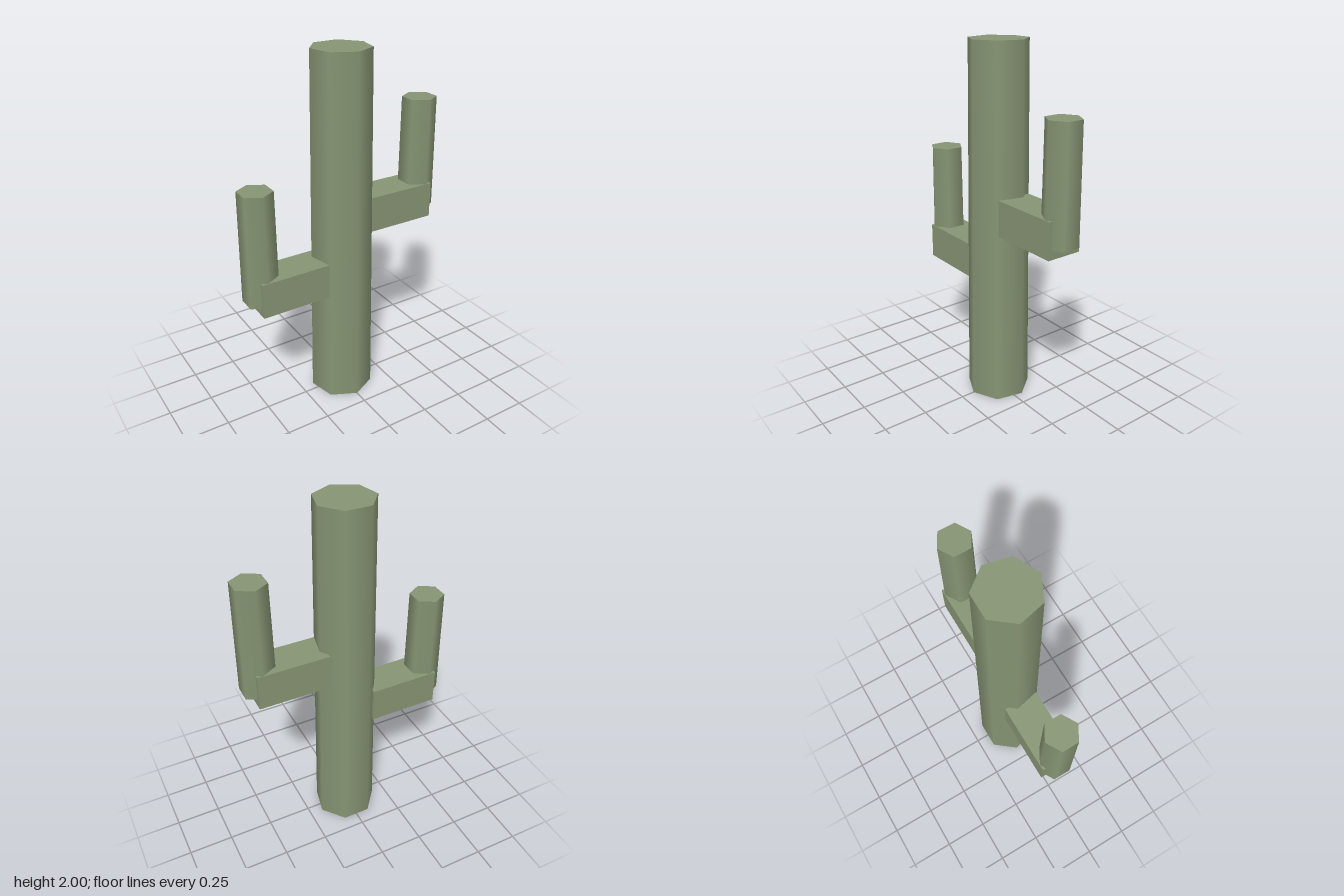
import * as THREE from 'three';

export function createModel() {
  const model = new THREE.Group();
  model.name = 'cactus';
  const green = new THREE.MeshStandardMaterial({ color: 0x869473 });
  green.name = 'cactus green';

  const add = (parent, name, geometry, x, y, z = 0) => {
    const mesh = new THREE.Mesh(geometry, green);
    mesh.name = name;
    mesh.position.set(x, y, z);
    parent.add(mesh);
  };

  // The seven-sided trunk has a corner at the front, so its axis sits slightly back
  const axisZ = -0.009;
  add(model, 'trunk', new THREE.CylinderGeometry(0.16, 0.18, 2, 7), 0, 1, axisZ);

  // Each arm is a square branch with a six-sided upright at its end
  const addArm = (name, side, y) => {
    const arm = new THREE.Group();
    arm.name = name;
    arm.position.set(0, y, axisZ);
    add(arm, 'branch', new THREE.BoxGeometry(0.4, 0.2, 0.2), side * 0.333, 0);
    add(arm, 'upright', new THREE.CylinderGeometry(0.094, 0.1, 0.63, 6), side * 0.5, 0.265);
    model.add(arm);
  };
  addArm('leftArm', 1, 1.1);
  addArm('rightArm', -1, 0.77);

  return model;
}
